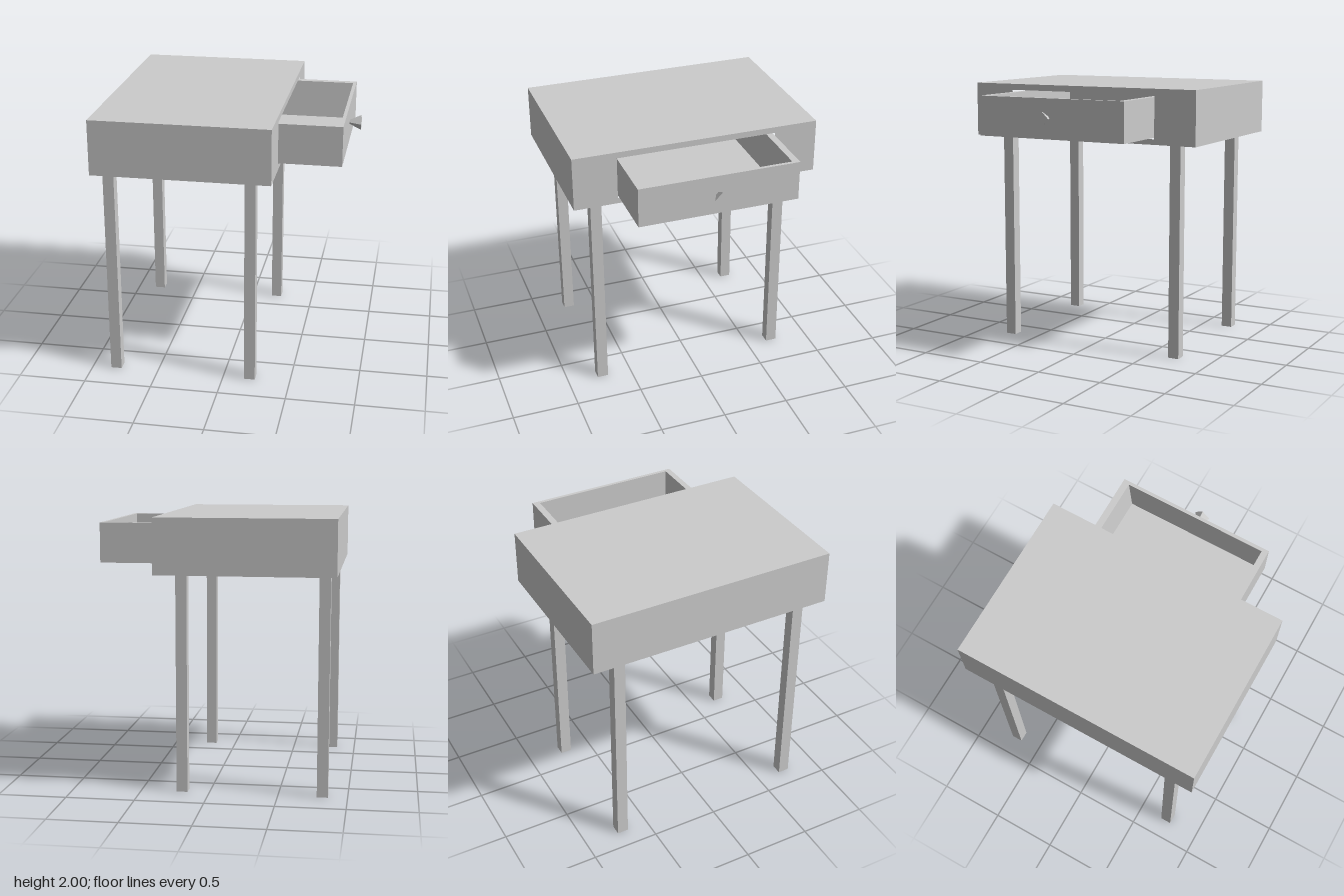
import * as THREE from 'three';

const material = new THREE.MeshStandardMaterial({ color: 0xcccccc, flatShading: true });

// Box given by its minimum and maximum on each axis
function box(name, [x0, x1], [y0, y1], [z0, z1]) {
  const geometry = new THREE.BoxGeometry(x1 - x0, y1 - y0, z1 - z0);
  geometry.translate((x0 + x1) / 2, (y0 + y1) / 2, (z0 + z1) / 2);
  const mesh = new THREE.Mesh(geometry, material);
  mesh.name = name;
  return mesh;
}

// Cross-section of [z, y] points, extruded along x
function extrudeAlongX(name, outline, hole, x0, x1) {
  const toPoints = (pts) => pts.map(([z, y]) => new THREE.Vector2(-z, y));
  const shape = new THREE.Shape(toPoints(outline));
  if (hole) shape.holes.push(new THREE.Path(toPoints(hole)));
  const geometry = new THREE.ExtrudeGeometry(shape, { depth: x1 - x0, bevelEnabled: false });
  geometry.rotateY(Math.PI / 2).translate(x0, 0, 0);
  const mesh = new THREE.Mesh(geometry, material);
  mesh.name = name;
  return mesh;
}

const rect = (z, y0, y1) => [[-z, y0], [z, y0], [z, y1], [-z, y1]];

export function createModel() {
  const desk = new THREE.Group();
  desk.name = 'desk';

  // Hollow case, open towards +x for the drawer
  const deskCase = new THREE.Group();
  deskCase.name = 'case';
  deskCase.add(
    extrudeAlongX('caseShell', rect(0.92, 1.6, 2), rect(0.597, 1.64, 1.955), -0.87, 0.37),
    box('caseBack', [-0.91, -0.87], [1.6, 2], [-0.92, 0.92]),
  );
  desk.add(deskCase);

  // Four square legs
  for (const x of [-0.86, 0.16]) {
    for (const z of [-0.745, 0.685]) {
      desk.add(box('leg', [x, x + 0.08], [0, 1.6], [z, z + 0.083]));
    }
  }

  // Open drawer: tray with one slanted inner side, closed by two end panels
  const drawer = new THREE.Group();
  drawer.name = 'drawer';
  const tray = [
    [-0.59, 1.65], [0.59, 1.65], [0.59, 1.94], [0.545, 1.94],
    [0.545, 1.665], [-0.515, 1.665], [-0.54, 1.94], [-0.59, 1.94],
  ];
  drawer.add(
    extrudeAlongX('drawerTray', tray, null, -0.4, 0.795),
    box('drawerFront', [0.795, 0.82], [1.65, 1.94], [-0.59, 0.59]),
    box('drawerBack', [-0.425, -0.4], [1.65, 1.94], [-0.59, 0.59]),
  );

  // Four-sided knob flaring outwards
  const knob = new THREE.Mesh(new THREE.CylinderGeometry(0.057, 0.016, 0.085, 4), material);
  knob.name = 'knob';
  knob.rotation.z = -Math.PI / 2;
  knob.position.set(0.8625, 1.8, 0.015);
  drawer.add(knob);
  desk.add(drawer);

  return desk;
}
